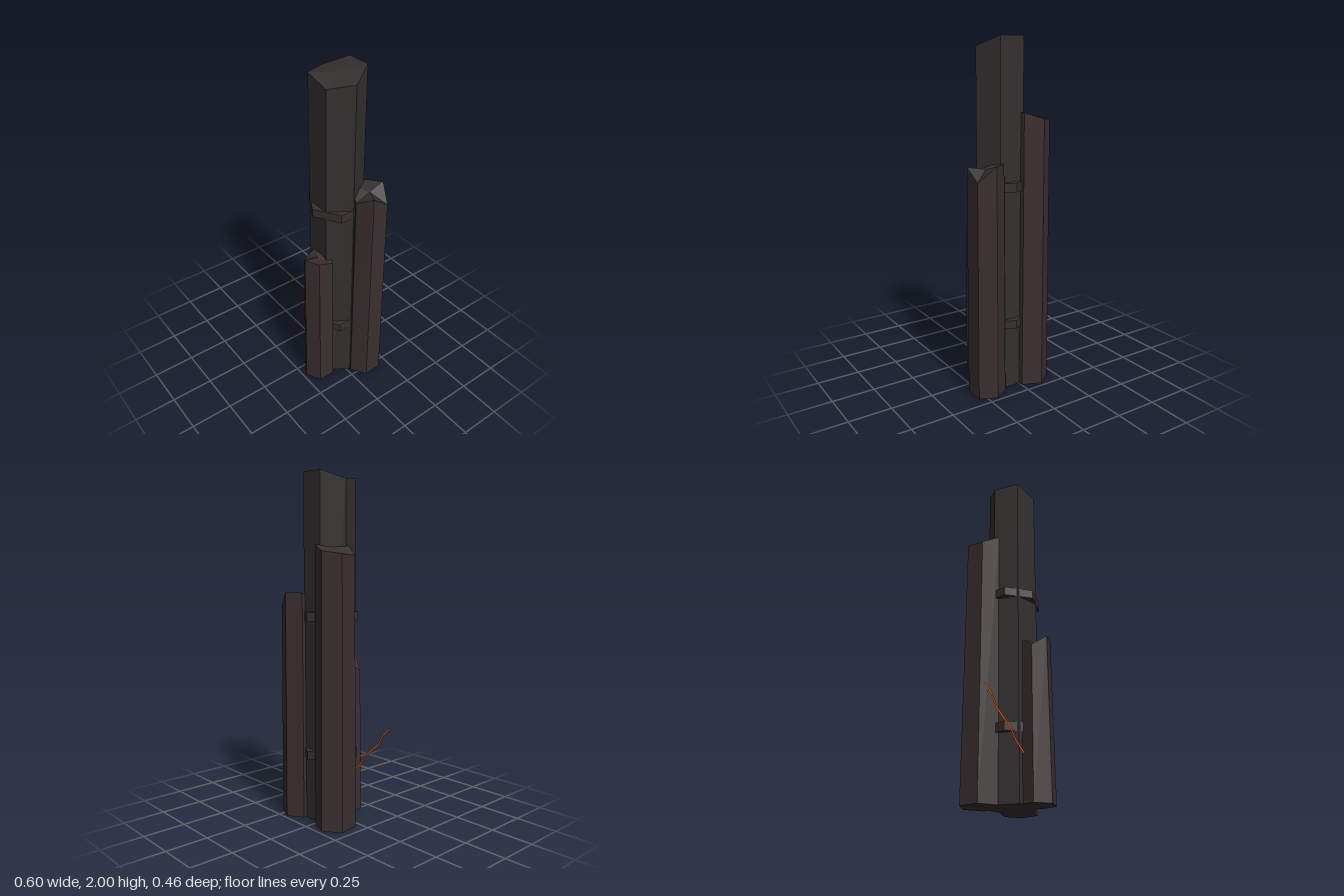
import * as THREE from 'three';

const mat = (name, color, extra = {}) => {
  const m = new THREE.MeshStandardMaterial({ color, ...extra });
  m.name = name;
  return m;
};

// Six-sided tapering column; ring lists [x, z, top height] clockwise seen from above
function column(name, ring, taper, sideMat, capMat) {
  const n = ring.length;
  const mean = k => ring.reduce((s, p) => s + p[k], 0) / n;
  const cx = mean(0), cz = mean(1), cy = mean(2);
  const base = ring.map(([x, z]) => [x, 0, z]);
  const top = ring.map(([x, z, h]) => [cx + (x - cx) * taper, h, cz + (z - cz) * taper]);
  const sides = [], caps = [];
  for (let i = 0; i < n; i++) {
    const j = (i + 1) % n;
    sides.push(base[j], base[i], top[i], base[j], top[i], top[j]);
    caps.push([cx, cy, cz], top[j], top[i], [cx, 0, cz], base[i], base[j]);
  }
  const g = new THREE.BufferGeometry();
  g.setAttribute('position', new THREE.Float32BufferAttribute([...sides, ...caps].flat(), 3));
  g.computeVertexNormals();
  g.addGroup(0, sides.length, 0);
  g.addGroup(sides.length, caps.length, 1);
  const mesh = new THREE.Mesh(g, [sideMat, capMat]);
  mesh.name = name;
  return mesh;
}

export function createModel() {
  const group = new THREE.Group();
  group.name = 'basaltColumns';
  const grey = mat('darkBasalt', 0x332f2f);
  const brown = mat('brownBasalt', 0x392f2f);
  const ember = mat('emberOrange', 0xd05000, { side: THREE.DoubleSide });

  // Tall central column
  group.add(column('mainColumn', [
    [-0.10, -0.03, 1.955], [-0.022, -0.155, 2], [0.125, -0.152, 2],
    [0.2, -0.022, 1.945], [0.12, 0.106, 1.93], [-0.033, 0.106, 1.968],
  ], 0.98, grey, grey));

  // Three shorter columns around it
  group.add(column('rightRearColumn', [
    [-0.205, -0.155, 1.55], [-0.112, -0.228, 1.565], [-0.003, -0.183, 1.6],
    [0.013, -0.069, 1.6], [-0.08, 0.005, 1.6], [-0.188, -0.038, 1.54],
  ], 0.94, brown, brown));
  group.add(column('leftRearColumn', [
    [0.11, -0.174, 1.33], [0.197, -0.233, 1.335], [0.295, -0.186, 1.25],
    [0.3, -0.078, 1.32], [0.212, -0.02, 1.28], [0.108, -0.068, 1.33],
  ], 0.94, brown, grey));
  group.add(column('frontColumn', [
    [-0.01, 0.18, 0.86], [-0.01, 0.08, 0.92], [0.077, 0.032, 0.92],
    [0.162, 0.083, 0.89], [0.162, 0.183, 0.92], [0.075, 0.23, 0.92],
  ], 0.9, brown, brown));

  // Horizontal joint bands on the central column
  for (const y of [0.4, 1.2]) {
    const g = new THREE.CylinderGeometry(0.17, 0.17, 0.05, 6).toNonIndexed();
    g.computeVertexNormals();
    const band = new THREE.Mesh(g, brown);
    band.name = 'jointBand';
    band.position.set(0.048, y, -0.025);
    group.add(band);
  }

  // Thin glowing crack: a flat ribbon
  const path = [[-0.3, 0.57], [-0.25, 0.523], [-0.213, 0.458], [-0.11, 0.373], [-0.07, 0.312], [-0.01, 0.258]];
  const w = 0.006;
  const outline = [
    ...path.map(([x, y]) => new THREE.Vector2(x + w * 0.6, y + w)),
    ...path.map(([x, y]) => new THREE.Vector2(x - w * 0.6, y - w)).reverse(),
  ];
  const crack = new THREE.Mesh(new THREE.ShapeGeometry(new THREE.Shape(outline)), ember);
  crack.name = 'glowingCrack';
  crack.position.z = 0.12;
  group.add(crack);

  return group;
}
